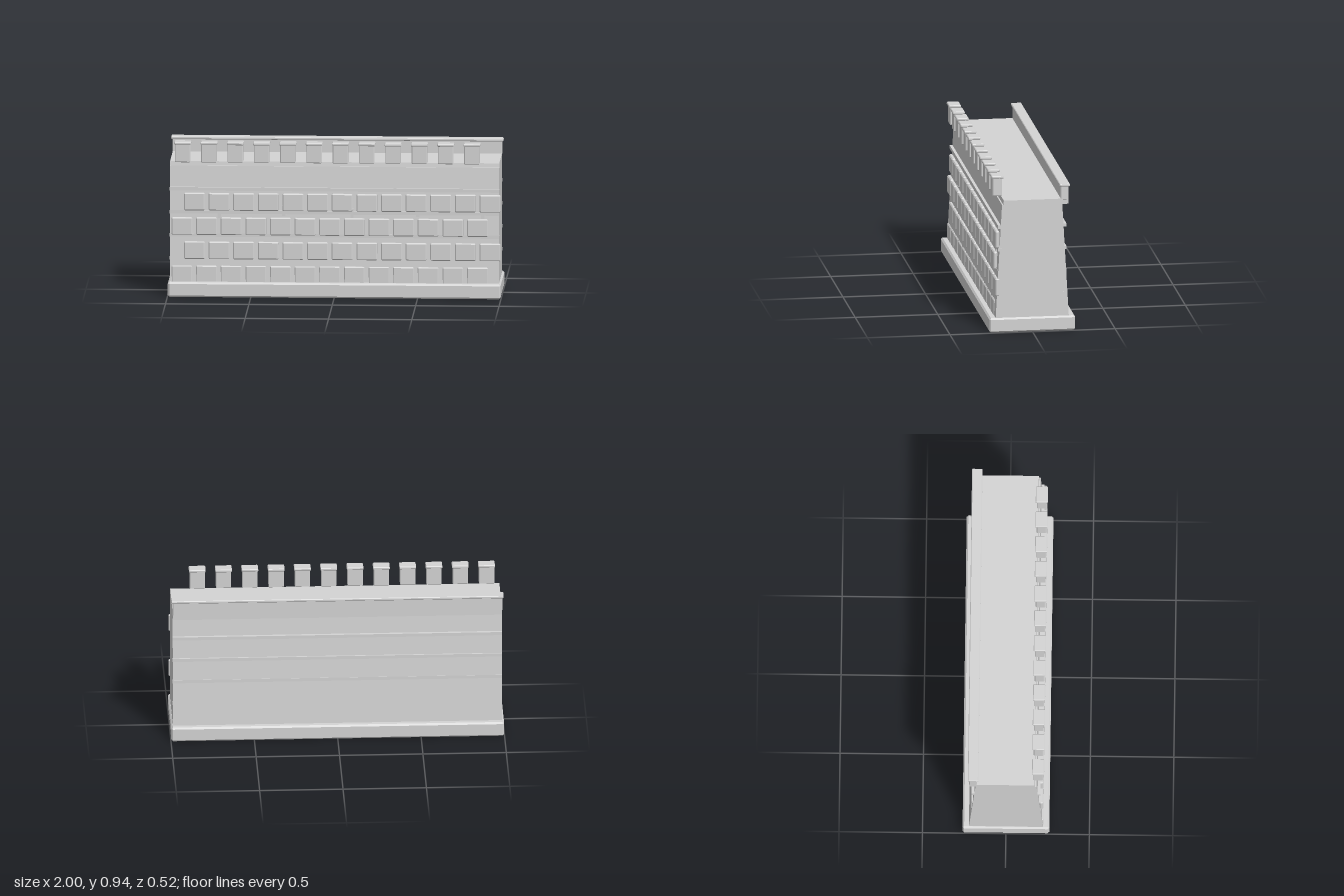
import * as THREE from 'three';
import { ConvexGeometry } from 'three/addons/geometries/ConvexGeometry.js';

const stone = new THREE.MeshStandardMaterial({ color: 0xd4d4d4 });
stone.name = 'light grey stone';

// Box with every edge cut at 45 degrees
function chamferedBox(w, h, d, c) {
  const points = [];
  for (const sx of [-1, 1]) for (const sy of [-1, 1]) for (const sz of [-1, 1]) {
    for (const [a, b, e] of [[0, c, c], [c, 0, c], [c, c, 0]]) {
      points.push(new THREE.Vector3(sx * (w / 2 - a), sy * (h / 2 - b), sz * (d / 2 - e)));
    }
  }
  return new ConvexGeometry(points);
}

// Block given by its extents; a bevel above 0 chamfers its edges
function block(parent, name, [x0, x1], [y0, y1], [z0, z1], bevel = 0) {
  const size = [x1 - x0, y1 - y0, z1 - z0];
  const geometry = bevel > 0 ? chamferedBox(...size, bevel) : new THREE.BoxGeometry(...size);
  const mesh = new THREE.Mesh(geometry, stone);
  mesh.name = name;
  mesh.position.set((x0 + x1) / 2, (y0 + y1) / 2, (z0 + z1) / 2);
  parent.add(mesh);
}

function subgroup(parent, name) {
  const group = new THREE.Group();
  group.name = name;
  parent.add(group);
  return group;
}

export function createModel() {
  const model = new THREE.Group();
  model.name = 'castleWall';

  // Plinth
  block(model, 'plinth', [-0.998, 0.998], [0, 0.09], [-0.26, 0.26], 0.01);

  // Battered wall core: (z, y) profile swept along x
  const profile = new THREE.Shape([
    [0.222, 0.08], [0.183, 0.787], [0.175, 0.787], [0.172, 0.813],
    [-0.18, 0.813], [-0.182, 0.78], [-0.222, 0.08],
  ].map(([z, y]) => new THREE.Vector2(z, y)));
  const coreGeometry = new THREE.ExtrudeGeometry(profile, { depth: 1.974, bevelEnabled: false });
  coreGeometry.translate(0, 0, -0.987).rotateY(-Math.PI / 2);
  const core = new THREE.Mesh(coreGeometry, stone);
  core.name = 'wallCore';
  model.add(core);

  // Horizontal courses on both faces
  const courses = subgroup(model, 'courses');
  for (const y of [0.23, 0.37, 0.51, 0.65]) {
    for (const z of [0.197, -0.197]) {
      block(courses, 'course', [-0.988, 0.988], [y - 0.01, y + 0.01], [z - 0.01, z + 0.01]);
    }
  }

  // Short upright joints on the front
  const joints = subgroup(model, 'joints');
  [-0.69, -0.305, 0.105, 0.5, 0.89].forEach((x, i) => {
    const y = i % 2 ? 0.52 : 0.505;
    block(joints, 'joint', [x - 0.01, x + 0.01], [y - 0.03, y + 0.03], [0.185, 0.206]);
  });

  // Raised stones on the front, alternate rows shifted by half a step
  const stones = subgroup(model, 'facingStones');
  [0.08, 0.226, 0.373, 0.521].forEach((y, row) => {
    for (let i = 0; i < 13; i++) {
      const x = (row % 2 ? -0.902 : -0.977) + i * 0.1477;
      block(stones, 'facingStone', [x, x + 0.125], [y, y + 0.106], [0.2, 0.224], 0.006);
    }
  });

  // Front merlons with capstones
  const merlons = subgroup(model, 'merlons');
  for (let i = 0; i < 12; i++) {
    const x = -0.91 + i * 0.1577;
    block(merlons, 'merlon', [x - 0.046, x + 0.046], [0.813, 0.925], [0.164, 0.222], 0.004);
    block(merlons, 'merlonCap', [x - 0.05, x + 0.05], [0.92, 0.937], [0.156, 0.229], 0.004);
  }

  // Rear ledge and parapet
  const parapet = subgroup(model, 'rearParapet');
  block(parapet, 'ledge', [-0.987, 0.987], [0.78, 0.812], [-0.22, -0.175]);
  block(parapet, 'parapetWall', [-0.988, 0.988], [0.805, 0.892], [-0.22, -0.173], 0.004);
  block(parapet, 'parapetCap', [-0.996, 0.996], [0.888, 0.905], [-0.228, -0.165], 0.004);

  return model;
}
